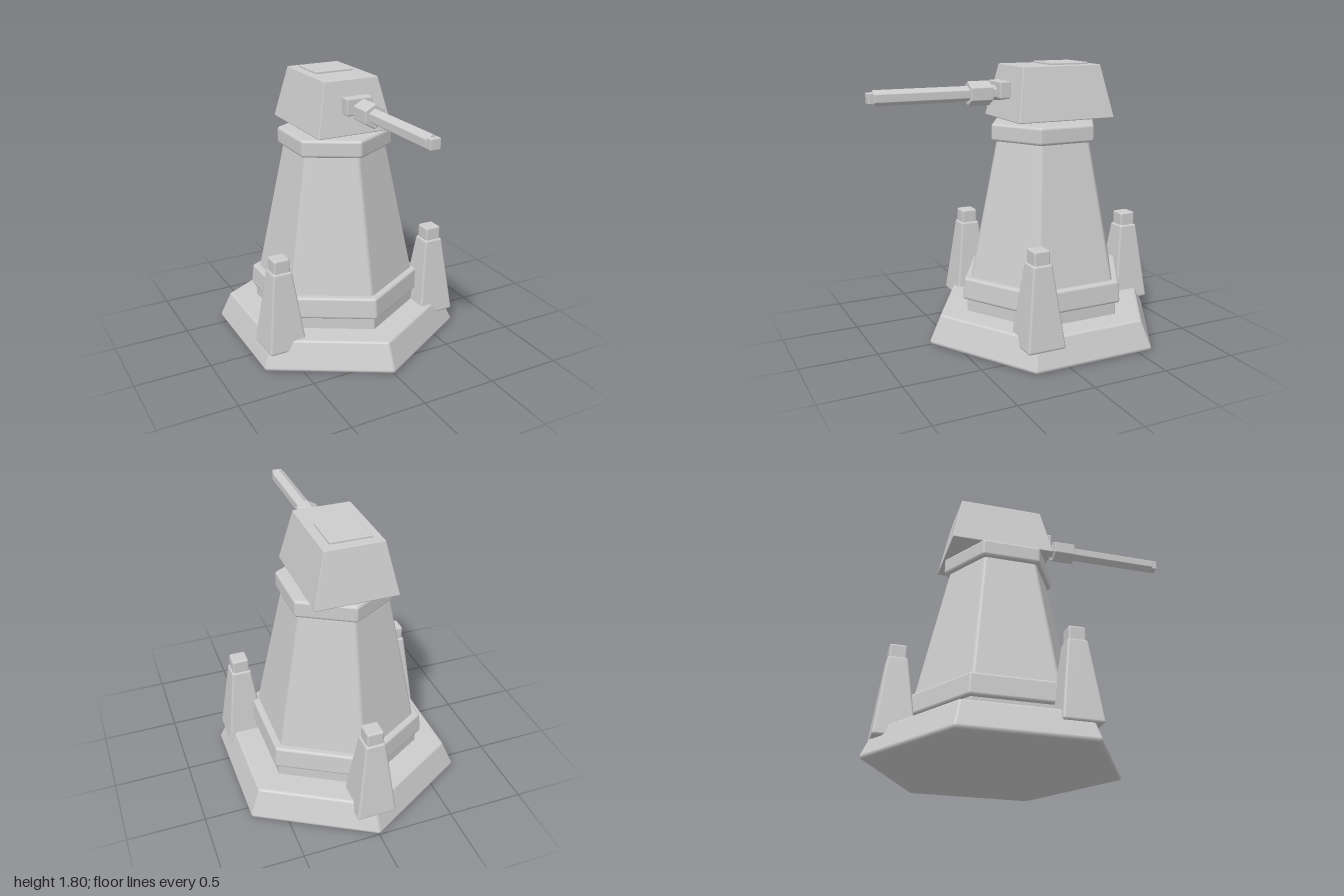
import * as THREE from 'three';

const SEG = 3; // steps in each rounded edge

// Tapered prism with rounded edges, standing on y = 0.
// sides 6: [w, d] are both the distance to a flat; sides 4: half width and half depth.
function roundedFrustum(sides, [w0, d0], [w1, d1], h, b) {
  const half = Math.PI / sides;
  const k = sides === 4 ? Math.SQRT2 : 1 / Math.cos(half);
  const tilt = Math.atan((w0 - w1) / h);
  const rings = [[-Math.PI / 2, 0, true]]; // [edge angle, end, centre point]
  for (let i = 0; i <= SEG; i++) rings.push([-Math.PI / 2 + (tilt + Math.PI / 2) * i / SEG, 0, false]);
  for (let i = 0; i <= SEG; i++) rings.push([tilt + (Math.PI / 2 - tilt) * i / SEG, 1, false]);
  rings.push([Math.PI / 2, 1, true]);

  const pos = [], nor = [], idx = [];
  const row = sides * (SEG + 1) + 1;
  rings.forEach(([phi, end, centre], r) => {
    const w = (end ? w1 : w0) - b, d = (end ? d1 : d0) - b;
    const y = (end ? h - b : b) + b * Math.sin(phi);
    for (let j = 0; j < row; j++) {
      const c = Math.floor(j / (SEG + 1)) % sides, s = j % (SEG + 1);
      const mid = c * 2 * half + (sides === 4 ? half : 0);
      const a = mid - half + 2 * half * s / SEG;
      const nx = Math.sin(a) * Math.cos(phi), nz = Math.cos(a) * Math.cos(phi);
      if (centre) pos.push(0, y, 0);
      else pos.push(Math.sin(mid) * k * w + b * nx, y, Math.cos(mid) * k * d + b * nz);
      nor.push(nx, Math.sin(phi), nz);
      if (r && j) {
        const q = r * row + j, p = q - row;
        idx.push(p - 1, p, q, p - 1, q, q - 1);
      }
    }
  });
  const g = new THREE.BufferGeometry();
  g.setAttribute('position', new THREE.Float32BufferAttribute(pos, 3));
  g.setAttribute('normal', new THREE.Float32BufferAttribute(nor, 3));
  g.setIndex(idx);
  return g;
}

export function createModel() {
  const model = new THREE.Group();
  model.name = 'gunTower';
  const grey = new THREE.MeshStandardMaterial({ color: 0xcccccc });
  grey.name = 'light grey';

  const add = (parent, name, geometry, x, y, z) => {
    const mesh = new THREE.Mesh(geometry, grey);
    mesh.name = name;
    mesh.position.set(x, y, z);
    parent.add(mesh);
    return mesh;
  };
  const hex = (a0, a1, h, b) => roundedFrustum(6, [a0, a0], [a1, a1], h, b);
  const box = (bottom, top, h, b) => roundedFrustum(4, bottom, top, h, b);

  // Hexagonal tower, stacked from the ground up
  const towerZ = -0.178;
  const tower = new THREE.Group();
  tower.name = 'tower';
  tower.position.z = towerZ;
  model.add(tower);
  add(tower, 'base', hex(0.716, 0.655, 0.193, 0.02), 0, 0, 0);
  add(tower, 'lowerStep', hex(0.486, 0.486, 0.13, 0.012), 0, 0.17, 0);
  add(tower, 'upperStep', hex(0.512, 0.502, 0.145, 0.018), 0, 0.275, 0);
  add(tower, 'shaft', hex(0.476, 0.288, 1.08, 0.03), 0, 0.3, 0);
  add(tower, 'collar', hex(0.326, 0.326, 0.115, 0.02), 0, 1.31, 0);

  // Three pylons on alternate corners of the base
  for (let i = 0; i < 3; i++) {
    const a = Math.PI + i * Math.PI * 2 / 3;
    const pylon = new THREE.Group();
    pylon.name = ['backPylon', 'rightPylon', 'leftPylon'][i];
    pylon.position.set(0.648 * Math.sin(a), 0, towerZ + 0.648 * Math.cos(a));
    model.add(pylon);
    add(pylon, 'pylonBody', box([0.128, 0.128], [0.066, 0.066], 0.53, 0.015), 0, 0.12, 0);
    add(pylon, 'pylonCap', box([0.055, 0.055], [0.055, 0.055], 0.12, 0.014), 0, 0.618, 0);
  }

  // Turret head, hovering just above the collar
  const turret = new THREE.Group();
  turret.name = 'turret';
  model.add(turret);
  add(turret, 'turretHead', box([0.263, 0.34], [0.188, 0.276], 0.34, 0.006), 0, 1.448, -0.214);
  add(turret, 'roofHatch', box([0.131, 0.131], [0.131, 0.131], 0.025, 0.006), 0, 1.777, -0.297);

  // Gun, each piece running forward from z0 to z1
  const gun = new THREE.Group();
  gun.name = 'gun';
  gun.position.y = 1.62;
  turret.add(gun);
  add(gun, 'gunMount', box([0.09, 0.055], [0.09, 0.055], 0.075, 0.01).rotateX(Math.PI / 2), 0, 0.02, 0.1);
  const pieces = [
    ['barrel', hex(0.043, 0.043, 0.915, 0.007), 0.05],
    ['barrelSleeve', hex(0.068, 0.068, 0.15, 0.008), 0.208],
    ['muzzle', box([0.034, 0.034], [0.034, 0.034], 0.06, 0.007), 0.94],
  ];
  for (const [name, geometry, z0] of pieces) add(gun, name, geometry.rotateX(Math.PI / 2), 0, 0, z0);

  return model;
}
